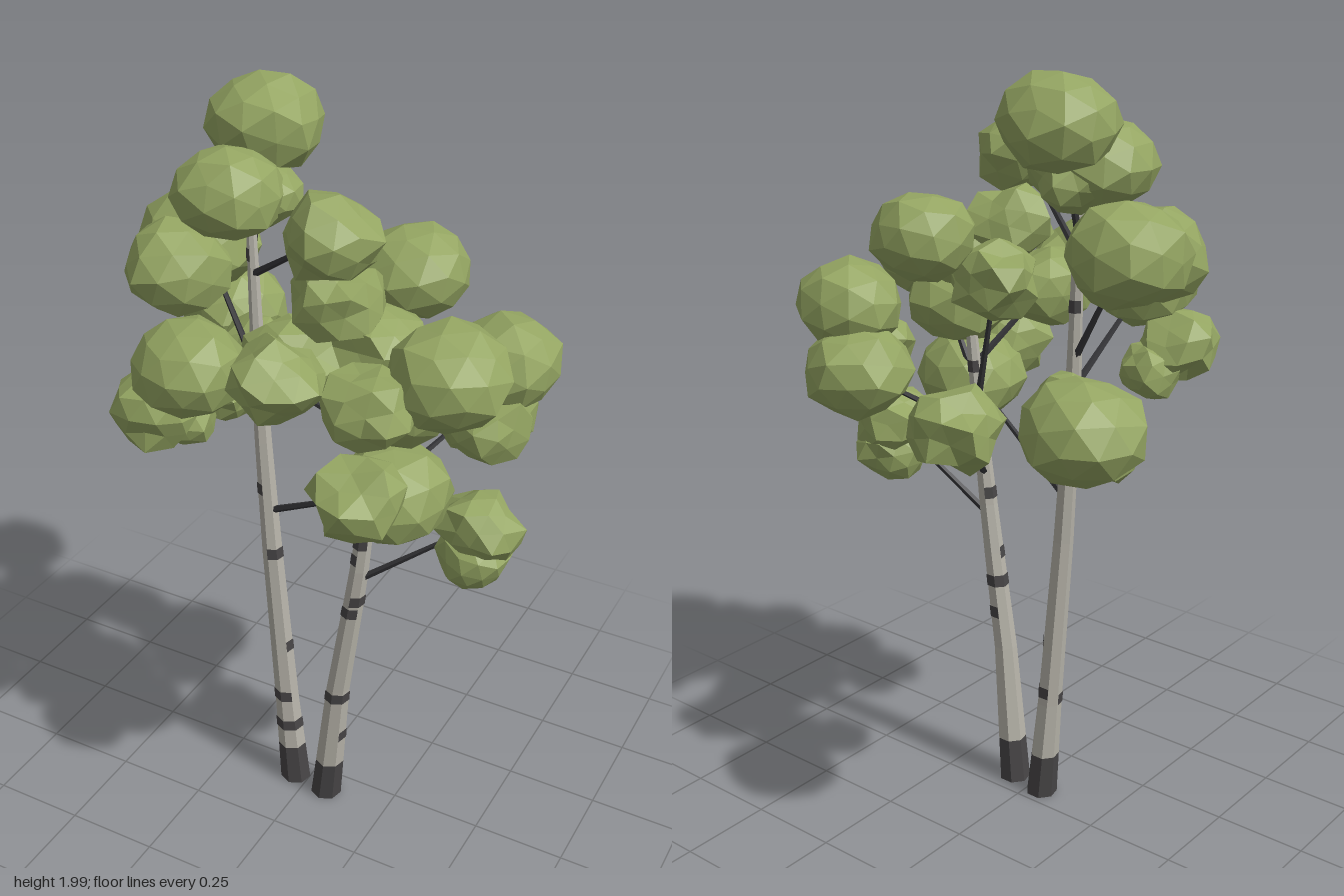
import * as THREE from 'three';

const mat = (name, color) => {
  const m = new THREE.MeshStandardMaterial({ color });
  m.name = name;
  return m;
};
const SIDES = 7;

// Flat facets from split corners
function flat(geo) {
  const g = geo.index ? geo.toNonIndexed() : geo;
  g.computeVertexNormals();
  return g;
}

// Trunk centre lines as [height, x, z, radius]
const rightLine = [
  [0, -0.04, 0.055, 0.043], [0.3, -0.063, 0.06, 0.033], [0.8, -0.1, 0.066, 0.027],
  [1.2, -0.132, 0.055, 0.021], [1.75, -0.165, 0.03, 0.011],
];
const leftLine = [
  [0, 0.066, 0.07, 0.043], [0.4, 0.105, 0.077, 0.032], [0.78, 0.16, 0.078, 0.026],
  [1.0, 0.18, 0.07, 0.021], [1.5, 0.215, 0.05, 0.012],
];

function trunkAt(line, y) {
  let i = 0;
  while (i < line.length - 2 && y > line[i + 1][0]) i++;
  const a = line[i], b = line[i + 1], t = (y - a[0]) / (b[0] - a[0]);
  return [1, 2, 3].map(k => a[k] + (b[k] - a[k]) * t);
}

// Slice of trunk between two heights; faces limits it to some of the sides
function trunkSlice(line, y0, y1, steps, first = 0, faces = SIDES, lift = 0) {
  const step = Math.PI * 2 / SIDES;
  const g = new THREE.CylinderGeometry(1, 1, 1, faces, steps, faces < SIDES, first * step, faces * step);
  const p = g.attributes.position;
  for (let i = 0; i < p.count; i++) {
    const y = y0 + (p.getY(i) + 0.5) * (y1 - y0);
    const [x, z, r] = trunkAt(line, y);
    p.setXYZ(i, x + p.getX(i) * (r + lift), y, z + p.getZ(i) * (r + lift));
  }
  return flat(g);
}

// Faceted leaf clump: a slightly squat ball whose corners are pulled in by a seeded amount
function clumpGeometry(seed, radius) {
  const g = new THREE.IcosahedronGeometry(1, 1);
  const p = g.attributes.position, v = new THREE.Vector3();
  const turn = new THREE.Euler(seed * 1.7, seed * 2.3, seed * 0.9);
  const rough = radius > 0.13 ? 0.13 : 0.34; // small clumps are more crumpled
  const hash = ({ x, y, z }) => {
    const s = Math.sin(Math.round(x * 50) * 12.99 + Math.round(y * 50) * 78.23 + Math.round(z * 50) * 37.72 + seed * 5.31) * 43758.5;
    return s - Math.floor(s);
  };
  for (let i = 0; i < p.count; i++) {
    v.fromBufferAttribute(p, i);
    const k = 1.03 + rough * (0.15 - hash(v));
    v.applyEuler(turn).multiplyScalar(k * radius);
    p.setXYZ(i, v.x, v.y * 0.85, v.z);
  }
  return flat(g);
}

// Leaf clumps as [x, y, z, radius], grouped by the trunk they hang from
const rightClumps = [
  [-0.19, 1.882, -0.09, 0.142], [-0.19, 1.765, 0.08, 0.135], [-0.15, 1.74, 0.01, 0.105], [0.13, 1.755, 0.18, 0.128],
  [-0.335, 1.585, -0.02, 0.155], [-0.32, 1.56, 0.11, 0.138], [-0.425, 1.255, -0.31, 0.15], [-0.27, 1.28, 0.31, 0.115],
  [-0.32, 1.13, -0.08, 0.1], [-0.28, 1.24, -0.15, 0.1], [-0.16, 1.425, 0.32, 0.138], [-0.24, 1.23, 0.23, 0.09],
];
const leftClumps = [
  [0.2, 1.57, -0.12, 0.135], [0.12, 1.58, 0.12, 0.12], [0.07, 1.46, 0, 0.125], [0.08, 1.46, 0.335, 0.12],
  [0.405, 1.46, 0.13, 0.148], [0.43, 1.37, -0.15, 0.142], [0.36, 1.215, -0.2, 0.145], [0.43, 1.25, -0.06, 0.115],
  [0.28, 1.36, 0.1, 0.14], [0.27, 1.4, 0.25, 0.12], [0.29, 1.13, 0.16, 0.147], [0.28, 1.2, 0.31, 0.125],
  [0.01, 1.14, -0.22, 0.128], [0.46, 1.01, 0.02, 0.112], [0.45, 0.915, 0.025, 0.106],
  [0.02, 1.42, 0.16, 0.125], [0.2, 1.47, 0.08, 0.125],
];

export function createModel() {
  const tree = new THREE.Group();
  tree.name = 'twinTree';
  const bark = mat('pale bark', 0xb6b3a9);
  const dark = mat('dark bark', 0x474546);
  const twig = mat('branch', 0x363639);
  const leaf = mat('leaf green', 0x94a562);
  const add = (name, geo, m, parent) => {
    const mesh = new THREE.Mesh(geo, m);
    mesh.name = name;
    parent.add(mesh);
    return mesh;
  };

  // Trunk with a dark foot and bark marks that step round the sides
  const addTrunk = (name, line, markHeights) => {
    const group = new THREE.Group();
    group.name = name;
    tree.add(group);
    add('trunkFoot', trunkSlice(line, 0.005, 0.13, 2), dark, group);
    add('trunkBark', trunkSlice(line, 0.13, line[line.length - 1][0], 10), bark, group);
    markHeights.forEach((y, i) => {
      add('barkMark', trunkSlice(line, y - 0.016, y + 0.016, 1, (6 + i * 3) % SIDES, 2 + (i + 1) % 2, 0.002), dark, group);
    });
  };
  addTrunk('rightTrunk', rightLine, [0.21, 0.33, 0.31, 0.48, 0.97, 0.78, 1.08, 1.24, 1.42, 1.6]);
  addTrunk('leftTrunk', leftLine, [0.38, 0.51, 0.68, 0.24, 0.85, 0.72, 0.6, 0.9, 1.2, 1.0]);

  // Thin branch from a height on a trunk to the middle of a clump
  const up = new THREE.Vector3(0, 1, 0);
  const addBranch = (line, y, [ex, ey, ez]) => {
    const [x, z] = trunkAt(line, y);
    const start = new THREE.Vector3(x, y, z), end = new THREE.Vector3(ex, ey, ez);
    const along = end.clone().sub(start);
    const m = add('branch', flat(new THREE.CylinderGeometry(0.005, 0.01, along.length(), 5)), twig, tree);
    m.position.copy(start).lerp(end, 0.5);
    m.quaternion.setFromUnitVectors(up, along.normalize());
  };
  addBranch(rightLine, 0.9, leftClumps[10]);
  [[1.04, 9], [1.55, 3], [1.28, 4], [1.2, 10], [1.6, 0]]
    .forEach(([y, i]) => addBranch(rightLine, y, rightClumps[i]));
  [[0.78, 13], [0.9, 12], [1.02, 6], [1.15, 4], [1.2, 3], [1.1, 2]]
    .forEach(([y, i]) => addBranch(leftLine, y, leftClumps[i]));

  // Leaf crown
  const crown = new THREE.Group();
  crown.name = 'crown';
  tree.add(crown);
  [...rightClumps, ...leftClumps].forEach(([x, y, z, r], i) => {
    add('leafClump', clumpGeometry(i + 1, r), leaf, crown).position.set(x, y, z);
  });

  return tree;
}
